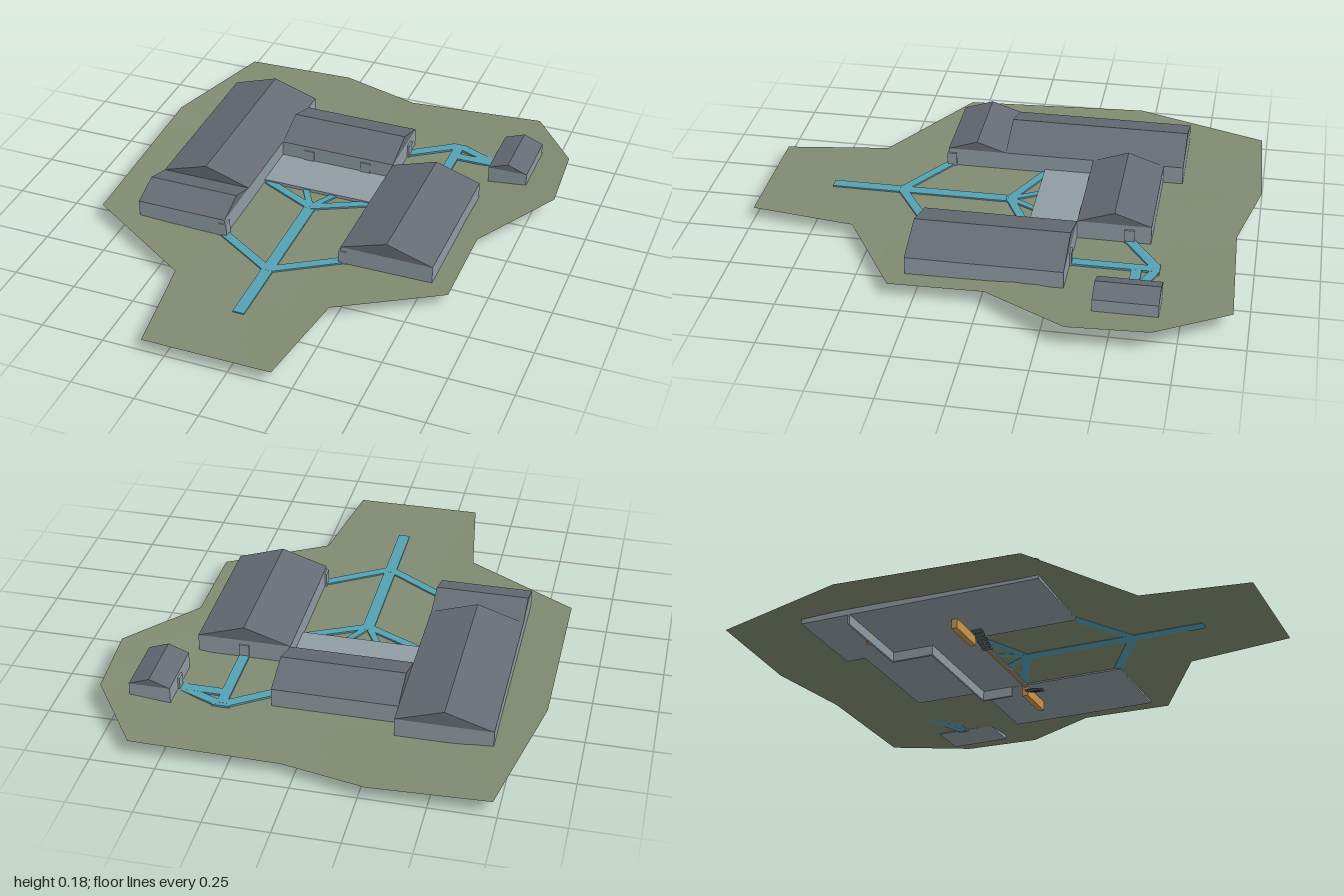
import * as THREE from 'three';

const mat = (name, color, side = THREE.FrontSide) => {
  const m = new THREE.MeshStandardMaterial({ color, side });
  m.name = name;
  return m;
};

export function createModel() {
  const root = new THREE.Group();
  root.name = 'buildingCompound';
  const wall = mat('wallGrey', 0x8f9ba3);
  const roof = mat('roofGrey', 0x656b74);
  const grass = mat('grassGreen', 0x808a70, THREE.DoubleSide);
  const path = mat('pathBlue', 0x55a0b2);
  const timber = mat('ochre', 0xc8954a);

  const add = (name, geometry, material, parent = root) => {
    const m = new THREE.Mesh(geometry, material);
    m.name = name;
    parent.add(m);
    return m;
  };

  // Box given by its two extreme corners
  const box = (name, x0, x1, y0, y1, z0, z1, material, parent) => {
    const m = add(name, new THREE.BoxGeometry(x1 - x0, y1 - y0, z1 - z0), material, parent);
    m.position.set((x0 + x1) / 2, (y0 + y1) / 2, (z0 + z1) / 2);
    return m;
  };

  // Ground: flat middle with edges rising towards the outline (x, z, height)
  const outline = [
    [-0.28, -1, 0.06], [-0.73, -0.98, 0.06], [-0.85, -0.45, 0.095], [-0.85, 0.3, 0.07],
    [-0.4, 0.58, 0.058], [-0.34, 1, 0.058], [0.17, 1, 0.058], [0.23, 0.58, 0.058],
    [0.62, 0.35, 0.06], [0.62, -0.02, 0.065], [0.84, -0.35, 0.097], [0.82, -0.66, 0.095],
    [0.62, -0.94, 0.07], [0.05, -0.92, 0.047],
  ];
  const cx = -0.07, cz = -0.05, baseY = 0.055;
  const rings = [0, 0.62, 0.75, 0.88, 1];
  const pos = [], idx = [], n = outline.length;
  for (const t of rings) {
    const k = Math.max(0, (t - 0.62) / 0.38);
    for (const [x, z, h] of outline) {
      pos.push(cx + (x - cx) * t, baseY + (h - baseY) * k, cz + (z - cz) * t);
    }
  }
  for (let r = 0; r < rings.length - 1; r++) {
    for (let i = 0; i < n; i++) {
      const a = r * n + i, b = r * n + (i + 1) % n;
      if (r > 0) idx.push(a, b + n, b);
      idx.push(a, a + n, b + n);
    }
  }
  const ground = new THREE.BufferGeometry();
  ground.setAttribute('position', new THREE.Float32BufferAttribute(pos, 3));
  ground.setIndex(idx);
  ground.computeVertexNormals();
  add('ground', ground, grass);

  // Gabled building: wall block plus triangular roof prism, ridge along x or z
  const house = (name, x0, x1, z0, z1, y0, ridgeY, axis) => {
    const g = new THREE.Group();
    g.name = name;
    root.add(g);
    const eave = 0.13;
    box('walls', x0, x1, y0, eave, z0, z1, wall, g);
    const span = axis === 'z' ? x1 - x0 : z1 - z0;
    const length = axis === 'z' ? z1 - z0 : x1 - x0;
    const s = new THREE.Shape();
    s.moveTo(-span / 2, 0);
    s.lineTo(span / 2, 0);
    s.lineTo(0, ridgeY - eave);
    const geo = new THREE.ExtrudeGeometry(s, { depth: length, bevelEnabled: false });
    geo.translate(0, 0, -length / 2);
    if (axis === 'x') geo.rotateY(Math.PI / 2);
    add('roof', geo, roof, g).position.set((x0 + x1) / 2, eave, (z0 + z1) / 2);
  };
  house('longHall', -0.685, -0.315, -0.675, 0.06, 0.049, 0.19, 'z');
  house('frontHall', -0.685, -0.315, 0.06, 0.3, 0.049, 0.17, 'x');
  house('backHall', -0.315, 0.17, -0.595, -0.305, 0.049, 0.18, 'x');
  house('sideHall', 0.17, 0.54, -0.305, 0.3, 0.049, 0.19, 'z');
  house('smallHut', 0.54, 0.7, -0.675, -0.43, 0.062, 0.16, 'z');

  // Courtyard terrace
  box('terrace', -0.315, 0.17, 0.05, 0.068, -0.305, -0.105, wall);

  // Doors: shallow boxes where paths and terrace meet the walls
  const doors = [
    [-0.22, -0.175, -0.305, -0.3], [0.03, 0.072, -0.305, -0.3],
    [-0.34, -0.307, 0.265, 0.304], [0.162, 0.195, 0.265, 0.304],
    [0.165, 0.178, -0.53, -0.49], [0.532, 0.545, -0.58, -0.54],
    [0.335, 0.375, -0.312, -0.3],
  ];
  for (const [x0, x1, z0, z1] of doors) box('door', x0, x1, 0.055, 0.112, z0, z1, wall);

  // Paths: flat strips between two ground points
  const strip = (x0, z0, x1, z1, width, top = 0.061) => {
    const dx = x1 - x0, dz = z1 - z0;
    const m = add('path', new THREE.BoxGeometry(Math.hypot(dx, dz), 0.008, width), path);
    m.position.set((x0 + x1) / 2, top - 0.004, (z0 + z1) / 2);
    m.rotation.y = -Math.atan2(dz, dx);
  };
  strip(-0.073, 0.73, -0.073, -0.01, 0.046);
  strip(-0.073, 0.445, -0.32, 0.29, 0.036, 0.0612);
  strip(-0.073, 0.445, 0.172, 0.29, 0.036, 0.0614);
  // Fan of paths leading up to the terrace
  [-0.3, -0.135, -0.012, 0.15].forEach((x, i) => {
    strip(-0.073, 0, x, -0.11, i % 3 ? 0.026 : 0.034, 0.0616 + i * 0.0002);
  });
  // Paths between the back hall, side hall and hut
  strip(0.165, -0.51, 0.34, -0.63, 0.04, 0.064);
  strip(0.32, -0.63, 0.39, -0.63, 0.036, 0.0642);
  strip(0.37, -0.63, 0.545, -0.56, 0.036, 0.0644);
  strip(0.335, -0.56, 0.545, -0.56, 0.04, 0.0646);
  strip(0.355, -0.63, 0.355, -0.3, 0.04, 0.0648);

  // Stepped retaining wall below the ground
  const retaining = [
    [0.165, 0.175, -0.305, -0.17], [-0.315, 0.175, -0.305, -0.297],
    [-0.32, -0.31, -0.475, -0.297], [-0.685, -0.31, -0.475, -0.467],
  ];
  for (const [x0, x1, z0, z1] of retaining) box('retainingWall', x0, x1, 0.01, 0.05, z0, z1, wall);

  // Ochre lower walls, the beam joining them and a small post
  box('lowerWall', -0.5, -0.33, 0.01, 0.05, -0.132, -0.108, timber);
  box('lowerWall', 0.185, 0.355, 0.01, 0.05, -0.132, -0.108, timber);
  box('lowerBeam', -0.33, 0.185, 0.046, 0.051, -0.124, -0.116, timber);
  box('lowerPost', -0.51, -0.49, 0.01, 0.05, -0.487, -0.467, timber);

  // Mirrored flights of steps descending towards the middle
  for (const side of [-1, 1]) {
    for (let i = 0; i < 6; i++) {
      const x = -0.0725 + side * (0.215 + i * 0.018);
      const y = 0.008 + i * 0.007;
      box('step', x - 0.01, x + 0.01, y, y + 0.005, -0.1, -0.06, roof);
    }
  }

  // Settle the lowest part on y = 0
  const bounds = new THREE.Box3().setFromObject(root);
  root.position.y = -bounds.min.y;
  return root;
}
